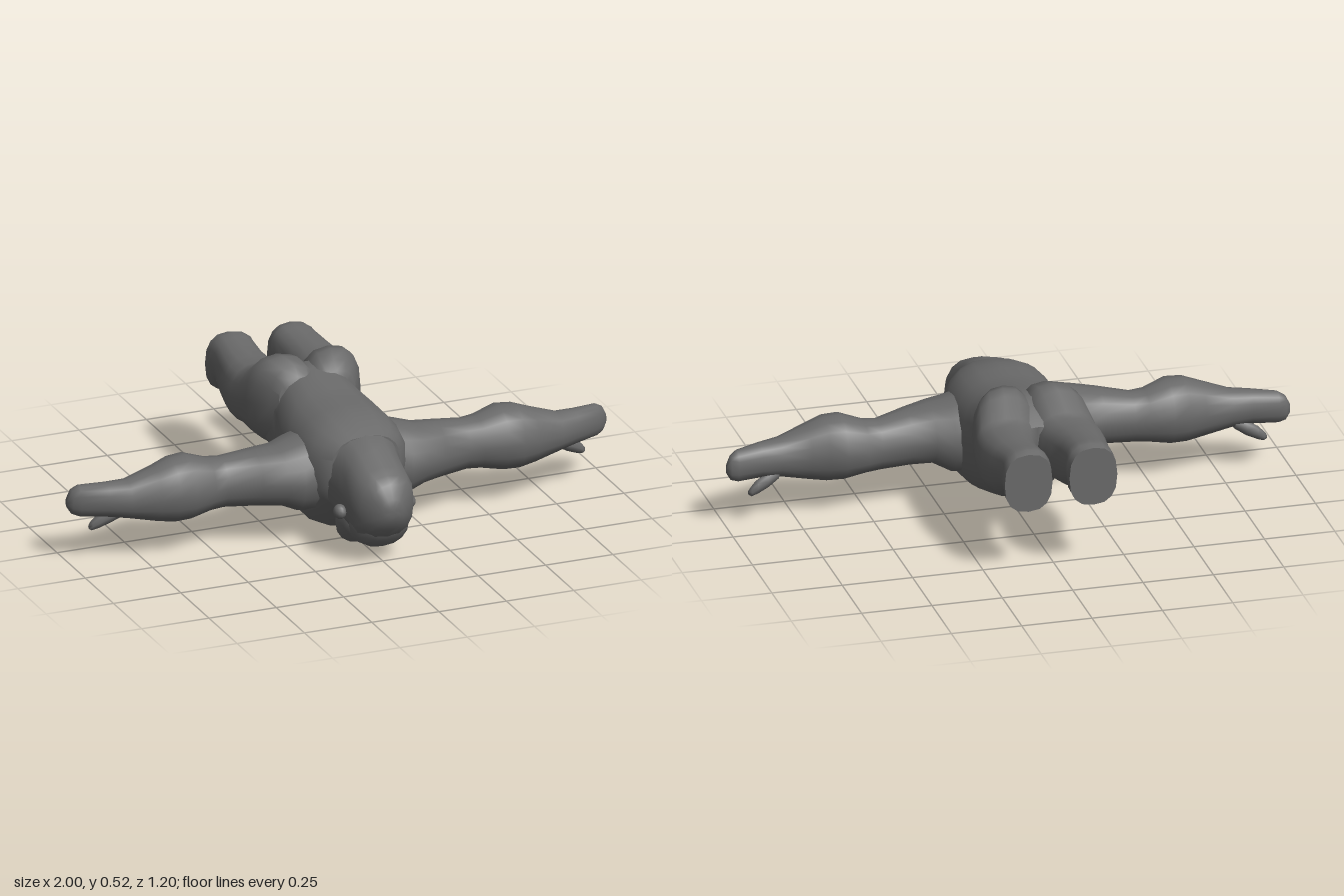
import * as THREE from 'three';
import { toCreasedNormals } from 'three/addons/utils/BufferGeometryUtils.js';

const skin = new THREE.MeshStandardMaterial({ color: 0x6a6a6a });
skin.name = 'plain grey';

// Closed skin through superellipse rings. Each row is
// [position along axis, min u, max u, min v, max v], in ascending order.
// Axis 'z' uses u = x, v = y; axis 'x' uses u = y, v = z.
function loft(name, axis, rows, { power = 2.2, side = 1, n = 16, crease = 0.95 } = {}) {
  const pos = [], index = [];
  const put = (a, u, v) => (axis === 'z' ? pos.push(u * side, v, a) : pos.push(a * side, u, v));
  const tri = (a, b, c) => (side > 0 ? index.push(a, b, c) : index.push(a, c, b));
  const bend = (t) => Math.sign(t) * Math.pow(Math.abs(t), 2 / power);
  for (const [a, u0, u1, v0, v1] of rows) {
    for (let j = 0; j < n; j++) {
      const t = (j / n) * Math.PI * 2;
      put(a, (u0 + u1) / 2 + bend(Math.cos(t)) * (u1 - u0) / 2,
        (v0 + v1) / 2 + bend(Math.sin(t)) * (v1 - v0) / 2);
    }
  }
  for (let i = 0; i < rows.length - 1; i++) {
    for (let j = 0; j < n; j++) {
      const a = i * n + j, b = i * n + (j + 1) % n;
      tri(a, b, b + n);
      tri(a, b + n, a + n);
    }
  }
  // end caps
  const last = rows.length - 1;
  for (const i of [0, last]) {
    const [a, u0, u1, v0, v1] = rows[i];
    const centre = pos.length / 3;
    put(a, (u0 + u1) / 2, (v0 + v1) / 2);
    for (let j = 0; j < n; j++) {
      const p = i * n + j, q = i * n + (j + 1) % n;
      if (i === 0) tri(centre, q, p); else tri(centre, p, q);
    }
  }
  const g = new THREE.BufferGeometry();
  g.setAttribute('position', new THREE.Float32BufferAttribute(pos, 3));
  g.setIndex(index);
  const mesh = new THREE.Mesh(toCreasedNormals(g, crease), skin);
  mesh.name = name;
  return mesh;
}

// Symmetric row along z: [z, half width, bottom, top]
const even = (rows) => rows.map(([z, w, b, t]) => [z, -w, w, b, t]);

function ball(name, x, y, z, rx, ry, rz) {
  const mesh = new THREE.Mesh(new THREE.SphereGeometry(1, 12, 8), skin);
  mesh.scale.set(rx, ry, rz);
  mesh.position.set(x, y, z);
  mesh.name = name;
  return mesh;
}

export function createModel() {
  const body = new THREE.Group();
  body.name = 'proneFigure';

  // trunk, from crotch to neck
  body.add(loft('torso', 'z', even([
    [-0.30, 0.09, 0.27, 0.42],
    [-0.25, 0.16, 0.225, 0.45],
    [-0.18, 0.175, 0.165, 0.485],
    [-0.12, 0.158, 0.11, 0.482],
    [-0.07, 0.162, 0.066, 0.475],
    [0.02, 0.185, 0.04, 0.458],
    [0.09, 0.197, 0.026, 0.452],
    [0.16, 0.20, 0.015, 0.45],
    [0.22, 0.198, 0.03, 0.445],
    [0.27, 0.185, 0.085, 0.432],
    [0.31, 0.162, 0.13, 0.42],
    [0.35, 0.13, 0.17, 0.405],
  ]), { power: 2.5, n: 20 }));

  // head, face down with the crown toward the front
  const head = new THREE.Group();
  head.name = 'head';
  head.add(loft('skull', 'z', even([
    [0.27, 0.14, 0.14, 0.42],
    [0.33, 0.138, 0.10, 0.41],
    [0.38, 0.122, 0.085, 0.40],
    [0.43, 0.117, 0.075, 0.38],
    [0.50, 0.115, 0.07, 0.347],
    [0.54, 0.098, 0.105, 0.33],
    [0.57, 0.07, 0.14, 0.308],
    [0.593, 0.038, 0.175, 0.26],
    [0.60, 0.02, 0.20, 0.24],
  ]), { power: 2.4 }));
  head.add(loft('jaw', 'z', even([
    [0.283, 0.075, 0.004, 0.15],
    [0.305, 0.095, 0.0, 0.18],
    [0.345, 0.102, 0.015, 0.20],
    [0.37, 0.095, 0.045, 0.20],
    [0.395, 0.08, 0.085, 0.19],
  ]), { power: 2.3 }));
  head.add(loft('brow', 'z', even([
    [0.43, 0.09, 0.055, 0.20],
    [0.45, 0.105, 0.044, 0.22],
    [0.495, 0.10, 0.053, 0.22],
    [0.53, 0.08, 0.085, 0.22],
    [0.55, 0.06, 0.125, 0.22],
  ]), { power: 2.3 }));
  head.add(ball('nose', 0, 0.075, 0.395, 0.028, 0.045, 0.03));
  body.add(head);

  for (const [label, side] of [['left', 1], ['right', -1]]) {
    head.add(ball(label + 'Ear', side * 0.128, 0.175, 0.425, 0.023, 0.026, 0.027));

    // buttock, thigh, shin and flat sole
    body.add(loft(label + 'Leg', 'z', [
      [-0.60, 0.03, 0.20, 0.243, 0.455],
      [-0.575, 0.027, 0.20, 0.25, 0.463],
      [-0.56, 0.028, 0.198, 0.28, 0.464],
      [-0.53, 0.032, 0.198, 0.284, 0.46],
      [-0.45, 0.032, 0.212, 0.245, 0.453],
      [-0.38, 0.022, 0.223, 0.225, 0.45],
      [-0.32, 0.004, 0.224, 0.222, 0.448],
      [-0.28, -0.005, 0.22, 0.225, 0.456],
      [-0.22, -0.015, 0.208, 0.20, 0.512],
      [-0.17, -0.02, 0.198, 0.20, 0.521],
      [-0.11, -0.02, 0.165, 0.23, 0.505],
      [-0.08, 0.0, 0.145, 0.26, 0.475],
    ], { power: 2.5, side }));

    // shoulder to fingertips
    body.add(loft(label + 'Arm', 'x', [
      [0.10, 0.09, 0.385, 0.00, 0.31],
      [0.20, 0.105, 0.36, 0.015, 0.302],
      [0.26, 0.135, 0.345, 0.048, 0.294],
      [0.34, 0.14, 0.335, 0.055, 0.26],
      [0.45, 0.14, 0.318, 0.058, 0.212],
      [0.50, 0.137, 0.322, 0.045, 0.222],
      [0.58, 0.122, 0.35, 0.03, 0.248],
      [0.64, 0.12, 0.347, 0.043, 0.243],
      [0.70, 0.13, 0.325, 0.06, 0.226],
      [0.80, 0.152, 0.29, 0.076, 0.196],
      [0.87, 0.162, 0.285, 0.073, 0.172],
      [0.96, 0.165, 0.28, 0.062, 0.128],
      [0.985, 0.175, 0.265, 0.064, 0.112],
      [1.00, 0.20, 0.235, 0.075, 0.095],
    ], { power: 2.2, side }));

    // thumb
    body.add(loft(label + 'Thumb', 'x', [
      [0.81, 0.15, 0.20, 0.09, 0.14],
      [0.85, 0.125, 0.18, 0.08, 0.125],
      [0.89, 0.108, 0.158, 0.075, 0.115],
      [0.91, 0.103, 0.138, 0.078, 0.105],
      [0.92, 0.11, 0.125, 0.085, 0.098],
    ], { power: 2, side, n: 8 }));
  }
  return body;
}
